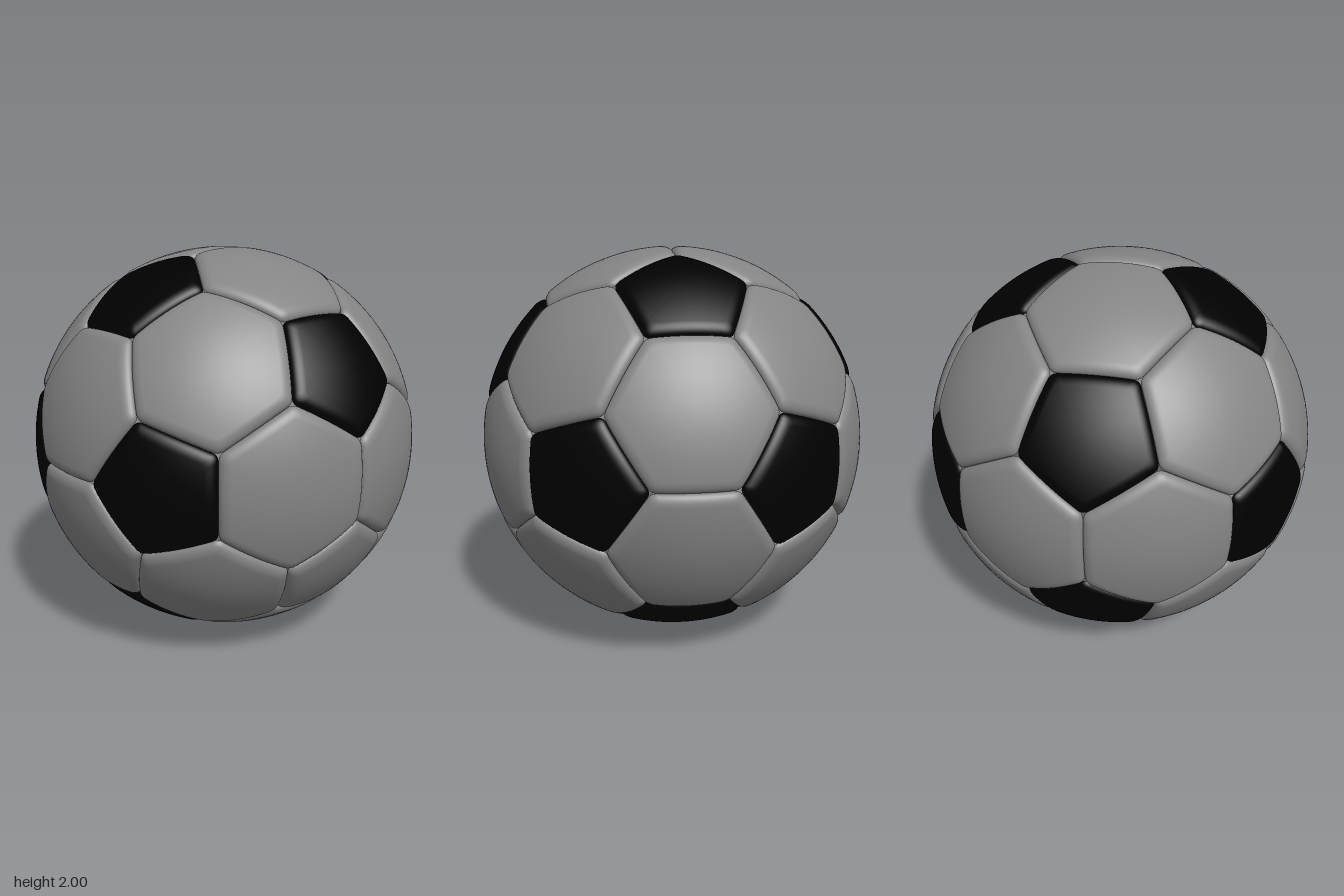
import * as THREE from 'three';

const RADIUS = 1.003;      // crown of the panels
const SEAM_DEPTH = 0.034;  // how far the panel edge rolls down into the seam
const SEAM_WIDTH = 0.06;   // width of the rolled border
const CORNER = 0.03;       // length cut from each edge by the corner rounding

const light = new THREE.MeshStandardMaterial({ color: 0x848484 });
const dark = new THREE.MeshStandardMaterial({ color: 0x000000 });

// The 12 pentagon centres: corners of an icosahedron
function icosahedronCorners() {
  const phi = (1 + Math.sqrt(5)) / 2;
  const list = [];
  for (const a of [1, -1]) {
    for (const b of [phi, -phi]) {
      list.push(new THREE.Vector3(a, 0, b), new THREE.Vector3(0, b, a), new THREE.Vector3(b, a, 0));
    }
  }
  return list.map((v) => v.normalize());
}

const centroid = (points) =>
  points.reduce((sum, p) => sum.add(p), new THREE.Vector3()).divideScalar(points.length);

// Order points counter-clockwise as seen from outside
function sortAround(points, center) {
  const u = points[0].clone().sub(center).normalize();
  const v = center.clone().normalize().cross(u);
  const angle = (p) => Math.atan2(p.clone().sub(center).dot(v), p.clone().sub(center).dot(u));
  return [...points].sort((p, q) => angle(p) - angle(q));
}

// Polygon outline with rounded corners, sampled evenly enough to follow the sphere
function roundedOutline(corners) {
  const out = [];
  const n = corners.length;
  corners.forEach((c, i) => {
    const prev = corners[(i + n - 1) % n];
    const next = corners[(i + 1) % n];
    const start = c.clone().add(prev.clone().sub(c).setLength(CORNER));
    const end = c.clone().add(next.clone().sub(c).setLength(CORNER));
    const nextStart = next.clone().add(c.clone().sub(next).setLength(CORNER));
    out.push(...new THREE.QuadraticBezierCurve3(start, c, end).getPoints(6));
    for (let k = 1; k < 10; k++) out.push(end.clone().lerp(nextStart, k / 10));
  });
  return out;
}

// One cushioned panel: concentric rings projected to the sphere, dropping at the border
function panelGeometry(points) {
  const center = centroid(points);
  const corners = sortAround(points, center);
  const apothem = corners[0].clone().lerp(corners[1], 0.5).distanceTo(center);
  const outline = roundedOutline(corners);
  const count = outline.length;

  // Distances from the border, outermost last
  const distances = [];
  for (let i = 1; i <= 8; i++) distances.push(apothem + (SEAM_WIDTH - apothem) * (i / 8));
  for (let i = 1; i <= 9; i++) distances.push(SEAM_WIDTH * (1 - Math.sin((i / 9) * Math.PI / 2)));

  const positions = center.clone().setLength(RADIUS).toArray();
  const index = [];
  distances.forEach((d, ring) => {
    const scale = 0.999 * (1 - d / apothem);
    const t = Math.max(0, 1 - d / SEAM_WIDTH);
    const r = RADIUS - SEAM_DEPTH * (1 - Math.sqrt(Math.max(0, 1 - t * t)));
    outline.forEach((p, j) => {
      positions.push(...center.clone().lerp(p, scale).setLength(r).toArray());
      const k = (j + 1) % count;
      const here = 1 + ring * count;
      const inner = here - count;
      if (ring === 0) index.push(0, here + j, here + k);
      else index.push(inner + j, here + j, here + k, inner + j, here + k, inner + k);
    });
  });

  const geometry = new THREE.BufferGeometry();
  geometry.setAttribute('position', new THREE.Float32BufferAttribute(positions, 3));
  geometry.setIndex(index);
  geometry.computeVertexNormals();
  return geometry;
}

function addPanel(group, corners, material, name) {
  const mesh = new THREE.Mesh(panelGeometry(corners), material);
  mesh.name = name;
  group.add(mesh);
}

export function createModel() {
  const ball = new THREE.Group();
  ball.name = 'ball';
  const pentagons = new THREE.Group();
  pentagons.name = 'pentagonPanels';
  const hexagons = new THREE.Group();
  hexagons.name = 'hexagonPanels';
  ball.add(pentagons, hexagons);

  const ico = icosahedronCorners();
  const adjacent = (a, b) => a !== b && a.dot(b) > 0.4;
  // Corner of the truncated solid on edge a-b, nearer to a
  const cut = (a, b) => a.clone().multiplyScalar(2).add(b).normalize();

  // Pentagons: all dark except the low one on the +x side
  for (const a of ico) {
    const corners = ico.filter((b) => adjacent(a, b)).map((b) => cut(a, b));
    const plain = a.x > 0.7 && a.y < -0.3;
    addPanel(pentagons, corners, plain ? light : dark, plain ? 'lightPentagon' : 'darkPentagon');
  }

  // Hexagons: one on each icosahedron face
  for (let i = 0; i < 12; i++) {
    for (let j = i + 1; j < 12; j++) {
      for (let k = j + 1; k < 12; k++) {
        const [a, b, c] = [ico[i], ico[j], ico[k]];
        if (!adjacent(a, b) || !adjacent(b, c) || !adjacent(a, c)) continue;
        addPanel(hexagons, [cut(a, b), cut(b, a), cut(b, c), cut(c, b), cut(c, a), cut(a, c)], light, 'hexagon');
      }
    }
  }

  ball.position.y = 1;
  return ball;
}
